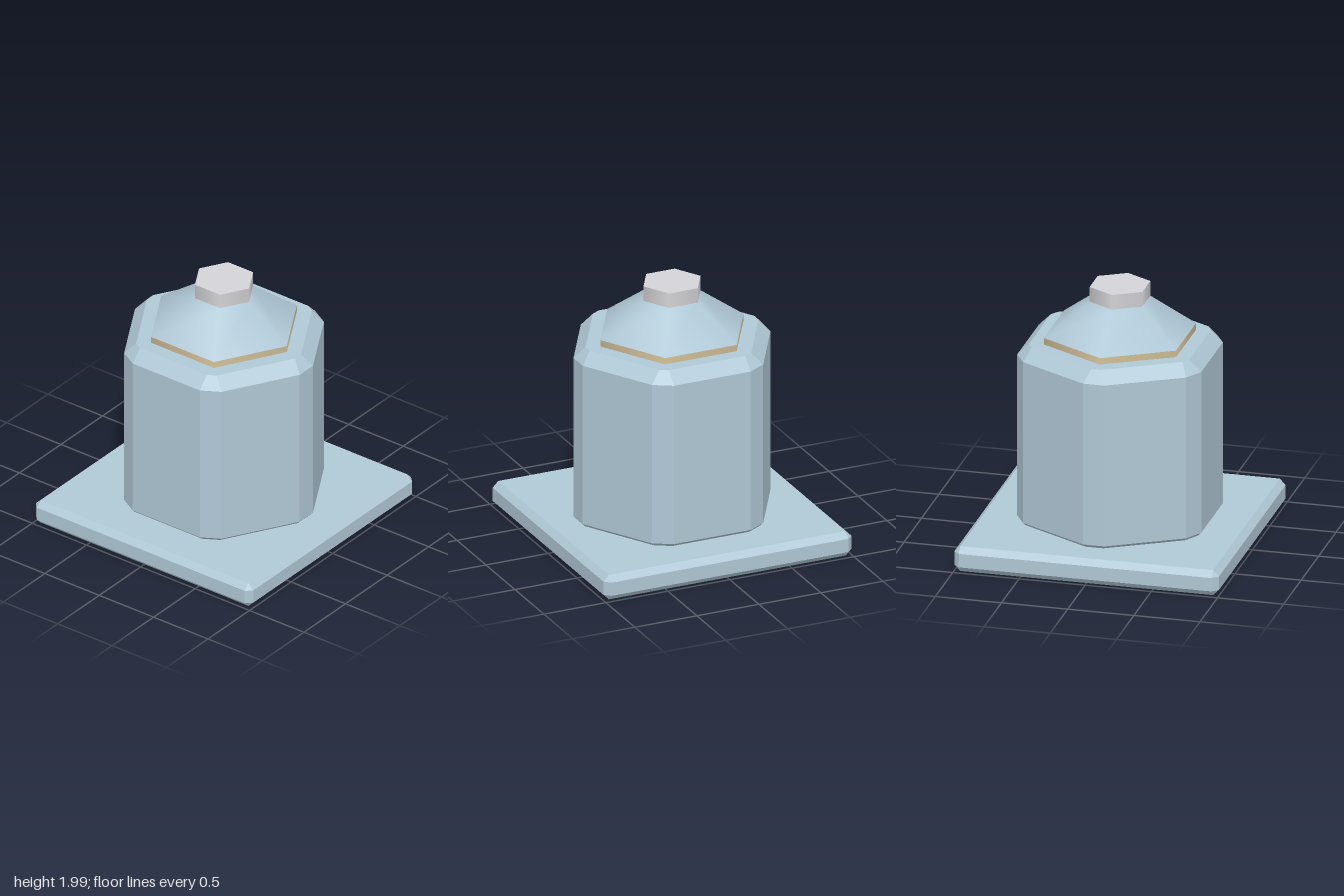
import * as THREE from 'three';
import { ConvexGeometry } from 'three/addons/geometries/ConvexGeometry.js';

// A ring of 2 * sides points: each corner is cut off at distance d, half-width w
function cutPolygon(sides, d, w, y, turn = 0) {
  const points = [];
  for (let i = 0; i < sides; i++) {
    const a = turn + (i / sides) * Math.PI * 2;
    for (const s of [-w, w]) {
      points.push(new THREE.Vector3(
        d * Math.cos(a) - s * Math.sin(a), y, d * Math.sin(a) + s * Math.cos(a)));
    }
  }
  return points;
}

// Corners of a square of half-size h
function square(h, y) {
  return [[-h, -h], [h, -h], [h, h], [-h, h]].map(([x, z]) => new THREE.Vector3(x, y, z));
}

export function createModel() {
  const group = new THREE.Group();
  const paint = (name, color) => {
    const material = new THREE.MeshStandardMaterial({ color });
    material.name = name;
    return material;
  };
  const blue = paint('pale blue', 0xb0c8d6);
  const tan = paint('tan', 0xd4c29a);
  const grey = paint('light grey', 0xd4d3d7);

  const add = (name, geometry, material) => {
    const mesh = new THREE.Mesh(geometry, material);
    mesh.name = name;
    group.add(mesh);
    return mesh;
  };

  // Square base slab, chamfered on every edge
  add('base', new ConvexGeometry([
    ...square(0.955, 0),
    ...cutPolygon(4, 1, 0.955, 0.045),
    ...cutPolygon(4, 1, 0.955, 0.15),
    ...square(0.955, 0.195),
  ]), blue);

  // Hexagonal body with cut corners, wide bevel on top and a narrow one below
  add('body', new ConvexGeometry([
    ...cutPolygon(6, 0.734, 0.067, 0.195),
    ...cutPolygon(6, 0.757, 0.08, 0.22),
    ...cutPolygon(6, 0.757, 0.08, 1.48),
    ...cutPolygon(6, 0.68, 0.036, 1.57),
  ]), blue);

  // Stacked six-sided parts, corners pointing to +x and -x
  const hexPart = (name, top, bottom, y0, y1, material) => {
    const geometry = new THREE.CylinderGeometry(top, bottom, y1 - y0, 6);
    geometry.rotateY(Math.PI / 6);
    add(name, geometry, material).position.y = (y0 + y1) / 2;
  };
  hexPart('gasket', 0.577, 0.577, 1.57, 1.62, tan);
  hexPart('shoulder', 0.23, 0.577, 1.62, 1.87, blue);
  hexPart('cap', 0.23, 0.23, 1.87, 1.985, grey);

  return group;
}
